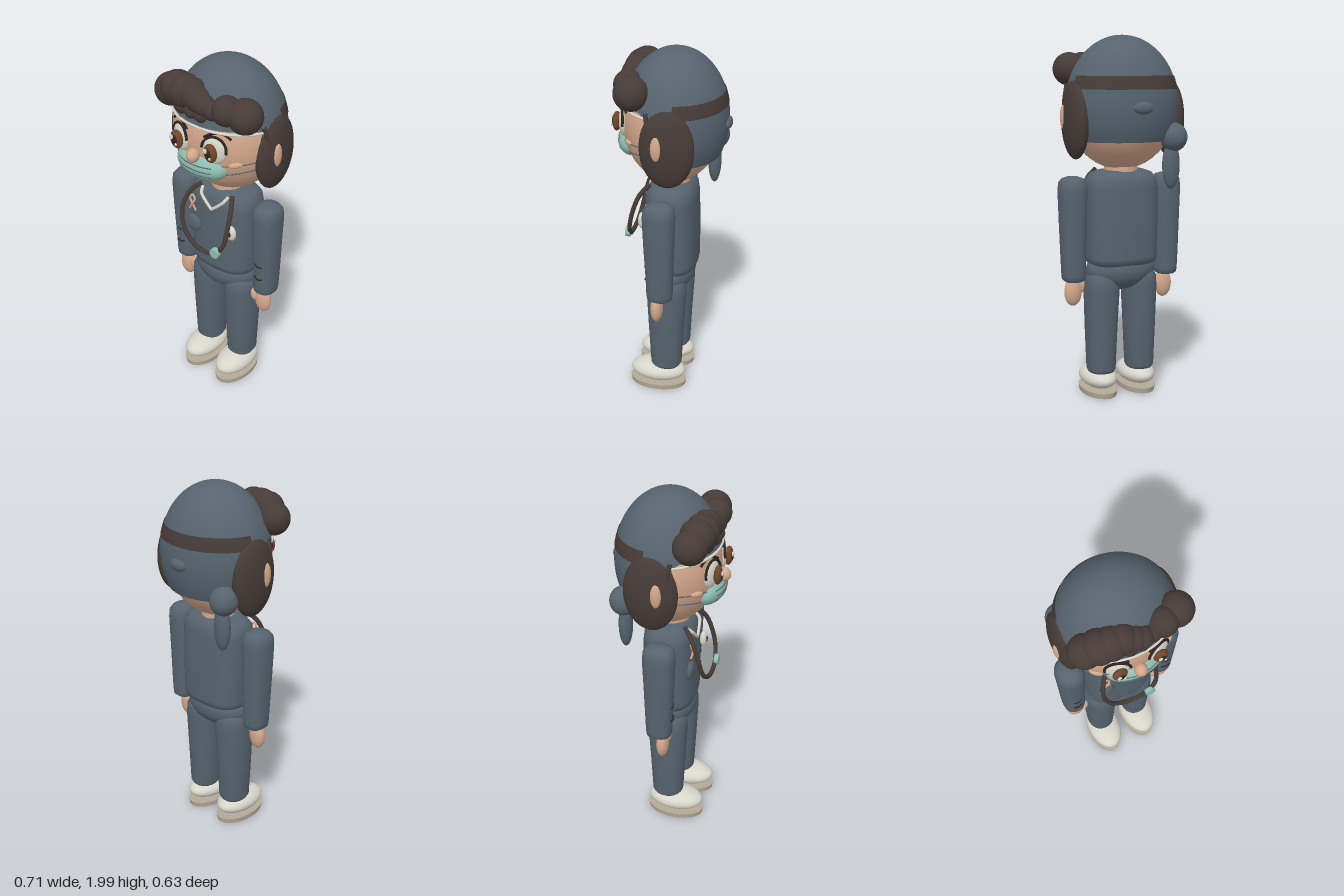
import * as THREE from 'three';

const mat = (name, color, side = THREE.FrontSide) => {
  const m = new THREE.MeshStandardMaterial({ color, side });
  m.name = name;
  return m;
};

export function createModel() {
  const blue = mat('slate blue cloth', 0x56636e, THREE.DoubleSide);
  const brown = mat('dark brown hair', 0x463b37, THREE.DoubleSide);
  const skin = mat('skin', 0xd3a78b);
  const mint = mat('mint', 0x8fbfb1);
  const white = mat('off white', 0xd8d5ca);
  const sole = mat('sole beige', 0xb3aa98);
  const iris = mat('iris brown', 0x70462b);
  const dark = mat('near black', 0x2b2422);

  const model = new THREE.Group();
  const V = (p) => new THREE.Vector3(...p);
  const add = (name, geo, material, pos = [0, 0, 0], rot = [0, 0, 0]) => {
    const m = new THREE.Mesh(geo, material);
    m.name = name;
    m.position.set(...pos);
    m.rotation.set(...rot);
    model.add(m);
    return m;
  };
  const ball = (name, material, pos, r, rot) =>
    add(name, new THREE.SphereGeometry(1, 32, 20), material, pos, rot).scale.set(...r);
  const tube = (name, material, pts, r, closed = false) =>
    add(name, new THREE.TubeGeometry(new THREE.CatmullRomCurve3(pts.map(V), closed), 40, r, 8, closed), material);

  // Closed loops stacked from bottom to top; f(angle, row) gives a point
  const loft = (f, rows, n = 48) => {
    const pos = [], idx = [];
    for (let j = 0; j < rows; j++) {
      for (let i = 0; i < n; i++) pos.push(...f((i / n) * Math.PI * 2, j));
    }
    for (let j = 0; j < rows - 1; j++) {
      for (let i = 0; i < n; i++) {
        const a = j * n + i, b = j * n + ((i + 1) % n);
        idx.push(a, b, b + n, a, b + n, a + n);
      }
    }
    const g = new THREE.BufferGeometry();
    g.setAttribute('position', new THREE.Float32BufferAttribute(pos, 3));
    g.setIndex(idx);
    g.computeVertexNormals();
    return g;
  };
  // Rows: [y, centre x, centre z, radius x, radius z]; power < 1 squares the section
  const body = (rows, power = 1) => loft((a, j) => {
    const [y, cx, cz, rx, rz] = rows[j];
    const p = (t) => Math.sign(t) * Math.abs(t) ** power;
    return [cx + rx * p(Math.sin(a)), y, cz + rz * p(Math.cos(a))];
  }, rows.length);

  // Head and neck
  ball('head', skin, [0, 1.61, -0.005], [0.305, 0.33, 0.265]);
  add('neck', new THREE.CylinderGeometry(0.09, 0.095, 0.12, 32), skin, [0, 1.28, 0]);
  const faceZ = (x, y) => -0.005 + 0.265 * Math.sqrt(Math.max(0, 1 - (x / 0.305) ** 2 - ((y - 1.61) / 0.33) ** 2));

  // Cap: high rim over the forehead, low rim at the nape
  const cap = (a, y, grow = 1) => {
    const k = Math.sqrt(Math.max(0, 1 - ((y - 1.63) / 0.37) ** 2)) * grow;
    return [0.31 * k * Math.sin(a), y, -0.016 + 0.28 * k * Math.cos(a)];
  };
  const rows = 28;
  add('cap', loft((a, j) => {
    const rim = 1.44 + 0.29 * THREE.MathUtils.smoothstep(Math.cos(a), -0.2, 0.5);
    const t0 = Math.acos((rim - 1.63) / 0.37);
    return cap(a, 1.63 + 0.37 * Math.cos(t0 * (1 - j / (rows - 1))));
  }, rows, 64), blue);

  // Band round the back of the cap
  const bandGeo = new THREE.PlaneGeometry(1, 1, 48, 4);
  const bp = bandGeo.attributes.position;
  for (let i = 0; i < bp.count; i++) {
    bp.setXYZ(i, ...cap(Math.PI + bp.getX(i) * 2.8, 1.75 + bp.getY(i) * 0.07, 1.012));
  }
  bandGeo.computeVertexNormals();
  add('capBand', bandGeo, brown);
  const rimPts = [];
  for (let a = -1.25; a <= 1.26; a += 0.25) rimPts.push(cap(a, 1.725 - 0.012 * Math.abs(a), 1.005));
  tube('capRim', white, rimPts, 0.007);
  ball('capKnot', blue, [0, 1.62, -0.292], [0.055, 0.032, 0.024]);
  ball('ponytailBun', blue, [-0.225, 1.46, -0.19], [0.075, 0.078, 0.075]);
  ball('ponytail', blue, [-0.212, 1.31, -0.188], [0.05, 0.13, 0.036]);

  // Fringe of overlapping curls: x, y, z, radius
  const curls = [
    [0.237, 1.82, 0.16, 0.09], [0.15, 1.835, 0.195, 0.077],
    [-0.237, 1.815, 0.16, 0.087], [-0.175, 1.85, 0.18, 0.09], [-0.12, 1.855, 0.19, 0.088],
    [-0.065, 1.86, 0.195, 0.078], [-0.015, 1.845, 0.21, 0.066], [0.03, 1.835, 0.22, 0.056],
    [0.08, 1.82, 0.215, 0.05], [-0.04, 1.79, 0.225, 0.045], [0.02, 1.785, 0.23, 0.04],
    [-0.12, 1.79, 0.2, 0.055],
  ];
  for (const [x, y, z, r] of curls) ball('fringeCurl', brown, [x, y, z], [r, r, r]);

  // Nose and mask
  ball('nose', skin, [0, 1.568, 0.278], [0.034, 0.038, 0.036]);
  ball('mask', mint, [0, 1.495, 0.2], [0.157, 0.086, 0.09]);
  const maskZ = (x, y) => 0.2 + 0.09 * Math.sqrt(Math.max(0, 1 - (x / 0.157) ** 2 - ((y - 1.495) / 0.086) ** 2));
  for (const y of [1.52, 1.493, 1.466]) {
    const pts = [-0.105, -0.05, 0, 0.05, 0.105].map((x) => [x, y, maskZ(x, y)]);
    tube('maskPleat', blue, pts, 0.003);
  }

  for (const s of [-1, 1]) {
    // Side hair and ears
    ball('sideHair', brown, [s * 0.277, 1.555, -0.03], [0.06, 0.21, 0.143]);
    tube('templeLock', brown, [[s * 0.285, 1.74, 0.075], [s * 0.305, 1.64, 0.06], [s * 0.3, 1.5, 0.07], [s * 0.265, 1.4, 0.05]], 0.012);
    ball('ear', skin, [s * 0.325, 1.57, 0.012], [0.02, 0.067, 0.03]);

    // Eyes
    const ex = s * 0.11;
    ball('eyeWhite', white, [ex, 1.62, 0.237], [0.062, 0.075, 0.026], [0, s * 0.3, 0]);
    ball('iris', iris, [ex, 1.62, 0.273], [0.039, 0.052, 0.022]);
    ball('pupil', dark, [ex, 1.62, 0.284], [0.022, 0.032, 0.015]);
    ball('eyeGlint', white, [ex - 0.014, 1.638, 0.298], [0.012, 0.014, 0.006]);
    ball('eyeGlint', white, [ex + 0.014, 1.603, 0.297], [0.007, 0.008, 0.005]);
    const lash = [], brow = [];
    for (let t = -0.15; t < 3.2; t += 0.4) {
      const x = 0.11 + 0.062 * Math.cos(t), y = 1.625 + 0.073 * Math.sin(t);
      lash.push([s * x, y, faceZ(x, y) + 0.012]);
    }
    tube('upperLash', dark, lash, 0.007);
    for (const [x, y] of [[0.055, 1.685], [0.1, 1.712], [0.15, 1.713], [0.185, 1.69]]) {
      brow.push([s * x, y, faceZ(x, y) + 0.006]);
    }
    tube('eyebrow', dark, brow, 0.007);

    // Cheeks and mask straps
    ball('cheek', skin, [s * 0.2, 1.543, faceZ(0.2, 1.543)], [0.036, 0.016, 0.014], [0, s * 0.7, s * 0.15]);
    for (const [y0, y1] of [[1.53, 1.555], [1.47, 1.51]]) {
      const pts = [0, 0.25, 0.5, 0.75, 1].map((t) => {
        const x = 0.14 + 0.15 * t, y = y0 + (y1 - y0) * t;
        return [s * x, y, faceZ(x, y) + 0.003];
      });
      tube('maskStrap', blue, pts, 0.003);
    }

    // Arms
    add('arm', body([
      [0.672, s * 0.278, 0.01, 0.001, 0.001], [0.674, s * 0.278, 0.01, 0.048, 0.055],
      [0.685, s * 0.278, 0.01, 0.061, 0.068], [0.71, s * 0.278, 0.01, 0.064, 0.071],
      [0.8, s * 0.28, 0.01, 0.066, 0.073], [1.0, s * 0.28, 0.012, 0.072, 0.081],
      [1.17, s * 0.28, 0.012, 0.077, 0.087], [1.215, s * 0.28, 0.012, 0.073, 0.083],
      [1.238, s * 0.279, 0.012, 0.057, 0.065], [1.248, s * 0.278, 0.012, 0.03, 0.035],
      [1.25, s * 0.278, 0.012, 0.001, 0.001],
    ], 0.85), blue);
    for (const y of [0.88, 0.795]) {
      tube('sleeveCrease', dark, [[s * 0.25, y + 0.008, 0.082], [s * 0.275, y - 0.003, 0.088], [s * 0.305, y, 0.083]], 0.004);
    }
    ball('hand', skin, [s * 0.275, 0.61, 0.028], [0.05, 0.08, 0.034]);
    ball('thumb', skin, [s * 0.224, 0.632, 0.04], [0.021, 0.04, 0.022], [0, 0, s * 0.15]);

    // Legs
    add('leg', body([
      [0.14, s * 0.117, 0.012, 0.001, 0.001], [0.143, s * 0.117, 0.012, 0.07, 0.078],
      [0.16, s * 0.117, 0.012, 0.079, 0.088], [0.4, s * 0.116, 0.012, 0.088, 0.1],
      [0.62, s * 0.113, 0.01, 0.096, 0.112], [0.68, s * 0.113, 0.01, 0.092, 0.11],
      [0.72, s * 0.11, 0.01, 0.075, 0.09], [0.74, s * 0.11, 0.01, 0.04, 0.05],
      [0.745, s * 0.11, 0.01, 0.001, 0.001],
    ], 0.9), blue);

    // Shoes
    ball('shoe', white, [s * 0.117, 0.1, 0.06], [0.097, 0.062, 0.16]);
    add('sole', new THREE.CylinderGeometry(1, 0.97, 0.03, 40), sole, [s * 0.117, 0.025, 0.06]).scale.set(0.098, 1, 0.165);
  }

  // Torso and hips
  add('torso', body([
    [0.752, 0, 0, 0.001, 0.001], [0.754, 0, 0, 0.165, 0.11], [0.77, 0, 0, 0.192, 0.138],
    [0.8, 0, 0, 0.198, 0.143], [1.0, 0, 0, 0.203, 0.142], [1.18, 0, 0, 0.203, 0.137],
    [1.23, 0, 0, 0.196, 0.13], [1.262, 0, 0, 0.17, 0.108], [1.277, 0, 0, 0.13, 0.08],
    [1.28, 0, 0, 0.001, 0.001],
  ], 0.75), blue);
  ball('hips', blue, [0, 0.725, 0.008], [0.2, 0.118, 0.134]);

  // V neckline
  for (const s of [-1, 1]) {
    tube('neckTrim', white, [[s * 0.088, 1.262, 0.105], [s * 0.075, 1.236, 0.132], [s * 0.04, 1.2, 0.139], [0, 1.165, 0.142]], 0.009);
  }

  // Stethoscope
  tube('stethoscopeTube', brown, [
    [-0.1, 1.275, 0.1], [-0.14, 1.235, 0.145], [-0.165, 1.13, 0.19], [-0.135, 1.02, 0.21], [-0.07, 0.96, 0.22],
    [0.0, 0.942, 0.224], [0.08, 0.955, 0.222], [0.135, 1.02, 0.212], [0.148, 1.12, 0.19], [0.14, 1.22, 0.15], [0.11, 1.275, 0.1],
  ], 0.0125);
  add('stethoscopeHead', new THREE.CylinderGeometry(0.029, 0.029, 0.025, 28), mint, [0.097, 0.972, 0.23], [Math.PI / 2, 0, 0]);

  // Chest badges and ribbon
  ball('roundBadge', blue, [-0.125, 1.025, 0.142], [0.05, 0.052, 0.02]);
  ball('ovalBadge', white, [0.135, 1.07, 0.142], [0.032, 0.046, 0.02]);
  ball('badgeMark', dark, [0.135, 1.07, 0.16], [0.012, 0.018, 0.005]);
  tube('ribbon', skin, [
    [-0.105, 1.115, 0.147], [-0.128, 1.155, 0.15], [-0.143, 1.187, 0.148], [-0.127, 1.208, 0.145],
    [-0.11, 1.187, 0.148], [-0.125, 1.155, 0.155], [-0.148, 1.115, 0.148],
  ], 0.006);

  return model;
}
